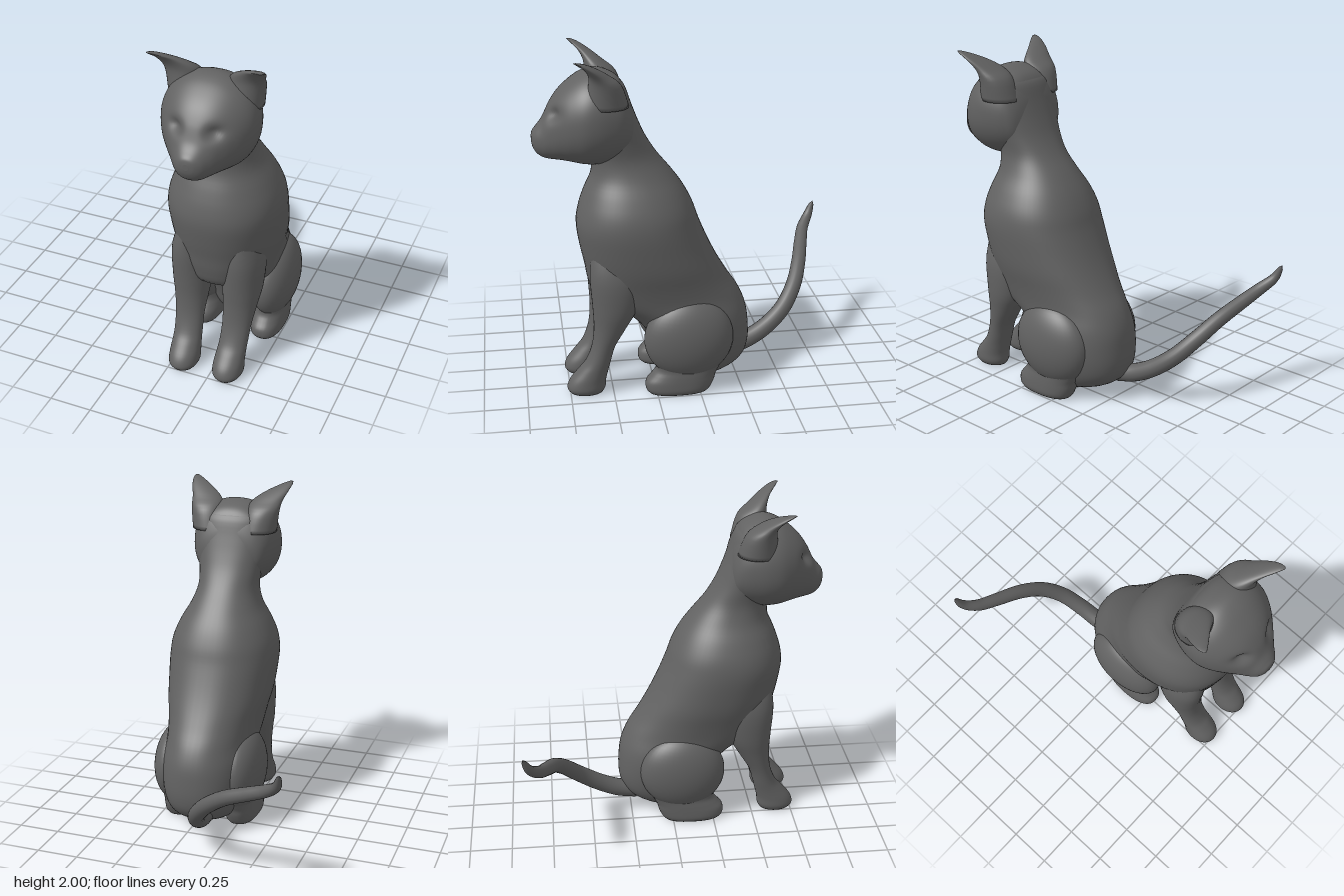
import * as THREE from 'three';

const fur = new THREE.MeshStandardMaterial({ color: 0x626262 });
fur.name = 'dark grey';

// Smooth interpolation of table rows (Catmull-Rom on every column)
function sampleRows(rows, t) {
  const f = t * (rows.length - 1);
  const i = Math.min(Math.floor(f), rows.length - 2);
  const u = f - i;
  const at = (k) => rows[Math.max(0, Math.min(rows.length - 1, k))];
  return rows[i].map((p1, c) => {
    const p0 = at(i - 1)[c], p2 = at(i + 1)[c], p3 = at(i + 2)[c];
    return p1 + 0.5 * u * (p2 - p0 + u * (2 * p0 - 5 * p1 + 4 * p2 - p3 + u * (3 * (p1 - p2) + p3 - p0)));
  });
}

// Closed skin over superellipse sections.
// Row: [position on axis, low edge, high edge, half width, centre x]
function loft(rows, { axis = 'y', side = 1, power = 2.1, sides = 40, steps = 4 } = {}) {
  const count = (rows.length - 1) * steps;
  const pos = [], idx = [];
  const put = (x, other, along) => (axis === 'y' ? pos.push(x, along, other) : pos.push(x, other, along));
  const round = (v) => Math.sign(v) * Math.pow(Math.abs(v), 2 / power);
  for (let j = 0; j <= count; j++) {
    const [along, lo, hi, w, cx = 0] = sampleRows(rows, j / count);
    for (let i = 0; i < sides; i++) {
      const a = (i / sides) * Math.PI * 2;
      put(cx * side + w * round(Math.cos(a)), (lo + hi) / 2 + ((hi - lo) / 2) * round(Math.sin(a)), along);
    }
  }
  const tri = (a, b, c) => (axis === 'y' ? idx.push(a, b, c) : idx.push(a, c, b));
  for (let j = 0; j < count; j++) {
    for (let i = 0; i < sides; i++) {
      const a = j * sides + i, b = j * sides + ((i + 1) % sides);
      tri(a, a + sides, b);
      tri(b, a + sides, b + sides);
    }
  }
  // End caps
  for (const j of [0, count]) {
    const [along, lo, hi, , cx = 0] = rows[j ? rows.length - 1 : 0];
    const centre = pos.length / 3;
    put(cx * side, (lo + hi) / 2, along);
    for (let i = 0; i < sides; i++) {
      const a = j * sides + i, b = j * sides + ((i + 1) % sides);
      if (j) tri(centre, b, a);
      else tri(centre, a, b);
    }
  }
  const geo = new THREE.BufferGeometry();
  geo.setAttribute('position', new THREE.Float32BufferAttribute(pos, 3));
  geo.setIndex(idx);
  geo.computeVertexNormals();
  return geo;
}

// Torso and neck, from the seat up: [y, back z, front z, half width]
const bodyRows = [
  [0.015, -0.02, 0.12, 0.12], [0.08, -0.21, 0.19, 0.18], [0.15, -0.295, 0.23, 0.22],
  [0.24, -0.322, 0.26, 0.245], [0.35, -0.32, 0.31, 0.26], [0.45, -0.305, 0.41, 0.265],
  [0.55, -0.265, 0.575, 0.268], [0.65, -0.2, 0.62, 0.285], [0.76, -0.135, 0.64, 0.31],
  [0.87, -0.08, 0.663, 0.323], [1.0, -0.025, 0.68, 0.33], [1.1, 0.01, 0.665, 0.315],
  [1.2, 0.06, 0.63, 0.272], [1.3, 0.13, 0.588, 0.215], [1.4, 0.21, 0.585, 0.185],
  [1.5, 0.273, 0.6, 0.195], [1.6, 0.318, 0.62, 0.215], [1.7, 0.355, 0.64, 0.23],
  [1.8, 0.39, 0.6, 0.2], [1.84, 0.43, 0.56, 0.15],
];

// Head from the nape to the nose: [z, chin y, crown y, half width]
const headRows = [
  [0.34, 1.5, 1.62, 0.1], [0.37, 1.44, 1.74, 0.185], [0.42, 1.4, 1.84, 0.23],
  [0.49, 1.375, 1.885, 0.258], [0.56, 1.365, 1.9, 0.27], [0.63, 1.37, 1.88, 0.263],
  [0.7, 1.385, 1.835, 0.23], [0.76, 1.395, 1.78, 0.185], [0.81, 1.4, 1.71, 0.14],
  [0.85, 1.41, 1.63, 0.105], [0.885, 1.435, 1.585, 0.075], [0.905, 1.47, 1.56, 0.045],
  [0.912, 1.5, 1.535, 0.015],
];

// [y, back z, front z, half width, centre x]
const frontLegRows = [
  [0, 0.56, 0.75, 0.072, 0.137], [0.03, 0.545, 0.768, 0.088, 0.138], [0.08, 0.54, 0.75, 0.088, 0.138],
  [0.14, 0.525, 0.7, 0.084, 0.14], [0.2, 0.51, 0.653, 0.083, 0.143], [0.3, 0.48, 0.617, 0.086, 0.147],
  [0.42, 0.41, 0.605, 0.1, 0.151], [0.55, 0.34, 0.61, 0.116, 0.155], [0.75, 0.3, 0.62, 0.11, 0.16],
  [0.95, 0.3, 0.59, 0.05, 0.15],
];
const hindFootRows = [
  [0, -0.05, 0.295, 0.085, 0.2], [0.025, -0.07, 0.313, 0.098, 0.2], [0.07, -0.09, 0.312, 0.098, 0.2],
  [0.11, -0.1, 0.28, 0.095, 0.2], [0.15, -0.12, 0.253, 0.092, 0.2], [0.21, -0.14, 0.255, 0.095, 0.205],
  [0.3, -0.1, 0.26, 0.08, 0.2],
];
const earRows = [
  [1.72, 0.38, 0.62, 0.115, 0.15], [1.84, 0.42, 0.6, 0.103, 0.175], [1.9, 0.49, 0.6, 0.092, 0.196],
  [1.95, 0.56, 0.625, 0.066, 0.243], [1.985, 0.62, 0.665, 0.035, 0.286], [2.0, 0.66, 0.683, 0.012, 0.306],
];

// Head skin with shallow eye sockets pressed in
function headGeometry() {
  const geo = loft(headRows, { axis: 'z', power: 2.2, sides: 80, steps: 8 });
  const p = geo.attributes.position;
  const v = new THREE.Vector3();
  for (let i = 0; i < p.count; i++) {
    v.fromBufferAttribute(p, i);
    if (v.z < 0.66) continue;
    const dx = (Math.abs(v.x) - 0.115) / 0.045, dy = (v.y - 1.675) / 0.035;
    const press = 0.03 * Math.exp(-dx * dx - dy * dy);
    p.setXYZ(i, v.x - Math.sign(v.x) * press * 0.4, v.y, v.z - press);
  }
  geo.computeVertexNormals();
  return geo;
}

// Tapering tail swept along a curve
function tailGeometry() {
  const path = new THREE.CatmullRomCurve3([
    [-0.06, 0.13, -0.22], [-0.077, 0.155, -0.33], [-0.1, 0.215, -0.45], [-0.147, 0.31, -0.57],
    [-0.237, 0.42, -0.66], [-0.365, 0.515, -0.72], [-0.525, 0.59, -0.77], [-0.64, 0.645, -0.81],
    [-0.71, 0.705, -0.86], [-0.735, 0.785, -0.895],
  ].map((q) => new THREE.Vector3(...q)));
  const n = 64, sides = 20;
  const geo = new THREE.TubeGeometry(path, n, 1, sides, false);
  const p = geo.attributes.position;
  const v = new THREE.Vector3();
  for (let j = 0; j <= n; j++) {
    const t = j / n;
    const c = path.getPointAt(t);
    const r = (0.056 - 0.02 * t) * Math.sqrt(Math.max(0, 1 - Math.pow(t, 10)));
    for (let i = 0; i <= sides; i++) {
      const k = j * (sides + 1) + i;
      v.fromBufferAttribute(p, k).sub(c).multiplyScalar(r).add(c);
      p.setXYZ(k, v.x, v.y, v.z);
    }
  }
  return geo;
}

export function createModel() {
  const cat = new THREE.Group();
  cat.name = 'sittingCat';
  const add = (name, geo) => {
    const mesh = new THREE.Mesh(geo, fur);
    mesh.name = name;
    cat.add(mesh);
    return mesh;
  };

  add('body', loft(bodyRows, { power: 2.2, sides: 56 }));
  add('head', headGeometry());
  add('tail', tailGeometry());

  // Paired limbs and ears
  for (const [label, side] of [['left', 1], ['right', -1]]) {
    add(label + 'FrontLeg', loft(frontLegRows, { side }));
    add(label + 'HindFoot', loft(hindFootRows, { side, power: 2.4 }));
    add(label + 'Ear', loft(earRows, { side, power: 2 }));
    const haunch = add(label + 'Haunch', new THREE.SphereGeometry(1, 40, 28));
    haunch.scale.set(0.135, 0.25, 0.26);
    haunch.position.set(0.208 * side, 0.335, 0.06);
  }

  // The tail swings to one side, so the torso sits off centre
  cat.position.x = 0.207;
  const model = new THREE.Group();
  model.name = 'model';
  model.add(cat);
  return model;
}
